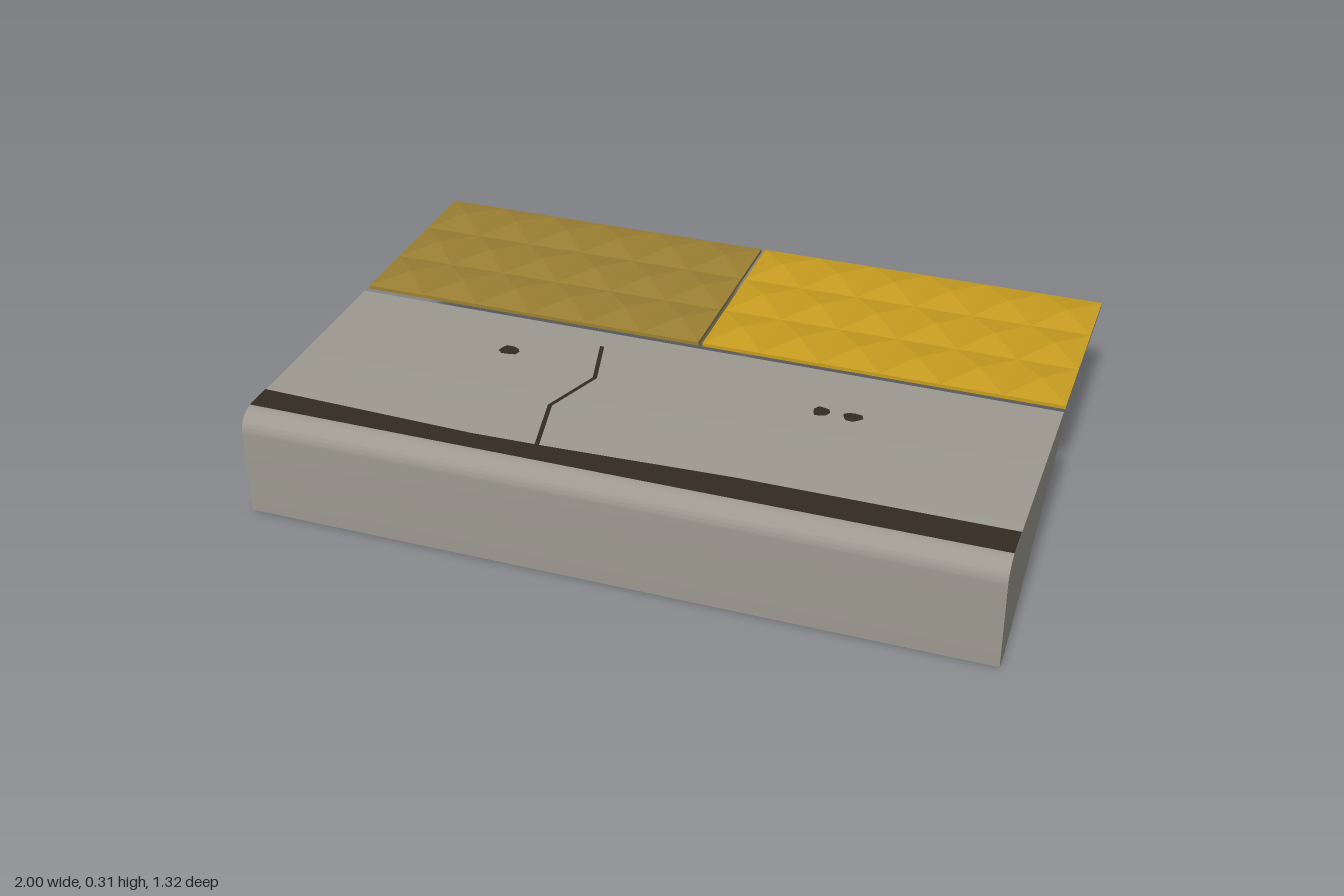
import * as THREE from 'three';
import { toCreasedNormals } from 'three/addons/utils/BufferGeometryUtils.js';

const TOP = 0.295;

const material = (name, color, side = THREE.FrontSide) => {
  const m = new THREE.MeshStandardMaterial({ color, side });
  m.name = name;
  return m;
};

const part = (name, geometry, mat) => {
  const mesh = new THREE.Mesh(geometry, mat);
  mesh.name = name;
  return mesh;
};

// Kerb: side profile with a rounded front top edge, extruded along x
function kerbGeometry() {
  const s = new THREE.Shape();
  s.moveTo(-0.658, 0);
  s.lineTo(-0.6, 0);
  s.lineTo(0.047, 0.224);
  s.lineTo(0.047, TOP);
  s.lineTo(-0.603, TOP);
  s.absarc(-0.603, TOP - 0.055, 0.055, Math.PI / 2, Math.PI, false);
  s.closePath();
  const g = new THREE.ExtrudeGeometry(s, { depth: 2, bevelEnabled: false, curveSegments: 8 });
  g.translate(0, 0, -1).rotateY(Math.PI / 2);
  return toCreasedNormals(g, 0.5);
}

// Paving tile: thin rim carrying a grid of shallow four-sided pyramids, open below
function tileGeometry(x0, x1, z0, z1, cols, rows) {
  const bottom = 0.285, peak = 0.31, pos = [];
  const tri = (...corners) => corners.forEach((c) => pos.push(...c));
  const dx = (x1 - x0) / cols, dz = (z1 - z0) / rows;
  for (let i = 0; i < cols; i++) {
    for (let j = 0; j < rows; j++) {
      const x = x0 + i * dx, z = z0 + j * dz;
      const ring = [[x, TOP, z], [x, TOP, z + dz], [x + dx, TOP, z + dz], [x + dx, TOP, z]];
      ring.forEach((c, k) => tri(c, ring[(k + 1) % 4], [x + dx / 2, peak, z + dz / 2]));
    }
  }
  const rim = [[x0, z0], [x0, z1], [x1, z1], [x1, z0]];
  rim.forEach(([ax, az], k) => {
    const [bx, bz] = rim[(k + 1) % 4];
    tri([ax, bottom, az], [bx, bottom, bz], [bx, TOP, bz]);
    tri([ax, bottom, az], [bx, TOP, bz], [ax, TOP, az]);
  });
  const g = new THREE.BufferGeometry();
  g.setAttribute('position', new THREE.Float32BufferAttribute(pos, 3));
  g.computeVertexNormals();
  return g;
}

// Flat marking from [x, z] outline points, laid just above the kerb
function markingGeometry(points) {
  const s = new THREE.Shape(points.map(([x, z]) => new THREE.Vector2(x, -z)));
  return new THREE.ShapeGeometry(s).rotateX(-Math.PI / 2).translate(0, TOP + 0.002, 0);
}

export function createModel() {
  const group = new THREE.Group();
  group.name = 'platformEdge';
  const concrete = material('concrete grey', 0x9d9990);
  const dark = material('dark grime', 0x342a20, THREE.DoubleSide);
  const yellow = material('tile yellow', 0xc89d20, THREE.DoubleSide);
  const worn = material('worn tile yellow', 0x9c8033, THREE.DoubleSide);

  group.add(part('kerb', kerbGeometry(), concrete));

  // Tactile tiles behind the kerb
  group.add(part('rightTile', tileGeometry(-1, -0.006, -0.658, -0.078, 6, 3), worn));
  group.add(part('leftTile', tileGeometry(0.006, 1, -0.658, -0.078, 6, 3), yellow));

  // Grime strip with an uneven back edge
  group.add(part('grimeStrip', markingGeometry([
    [-1, 0.605], [1, 0.605], [1, 0.515], [0.3, 0.517], [-0.2, 0.538], [-0.4, 0.543], [-1, 0.524],
  ]), dark));

  // Zigzag crack
  const path = [[-0.245, 0.03], [-0.204, 0.19], [-0.264, 0.355], [-0.224, 0.54]];
  const w = 0.006;
  group.add(part('crack', markingGeometry([
    ...path.map(([x, z]) => [x - w, z]),
    ...path.slice().reverse().map(([x, z]) => [x + w, z]),
  ]), dark));

  // Small irregular stains
  [[-0.475, 0.13, 0.029, 0.023], [0.408, 0.156, 0.022, 0.023], [0.492, 0.157, 0.026, 0.021]]
    .forEach(([cx, cz, rx, rz], n) => {
      const outline = Array.from({ length: 9 }, (_, k) => {
        const a = (k / 9) * Math.PI * 2, r = 1 + 0.12 * Math.sin(k * 2.3 + n);
        return [cx + Math.cos(a) * rx * r, cz + Math.sin(a) * rz * r];
      });
      group.add(part('stain', markingGeometry(outline), dark));
    });

  return group;
}
